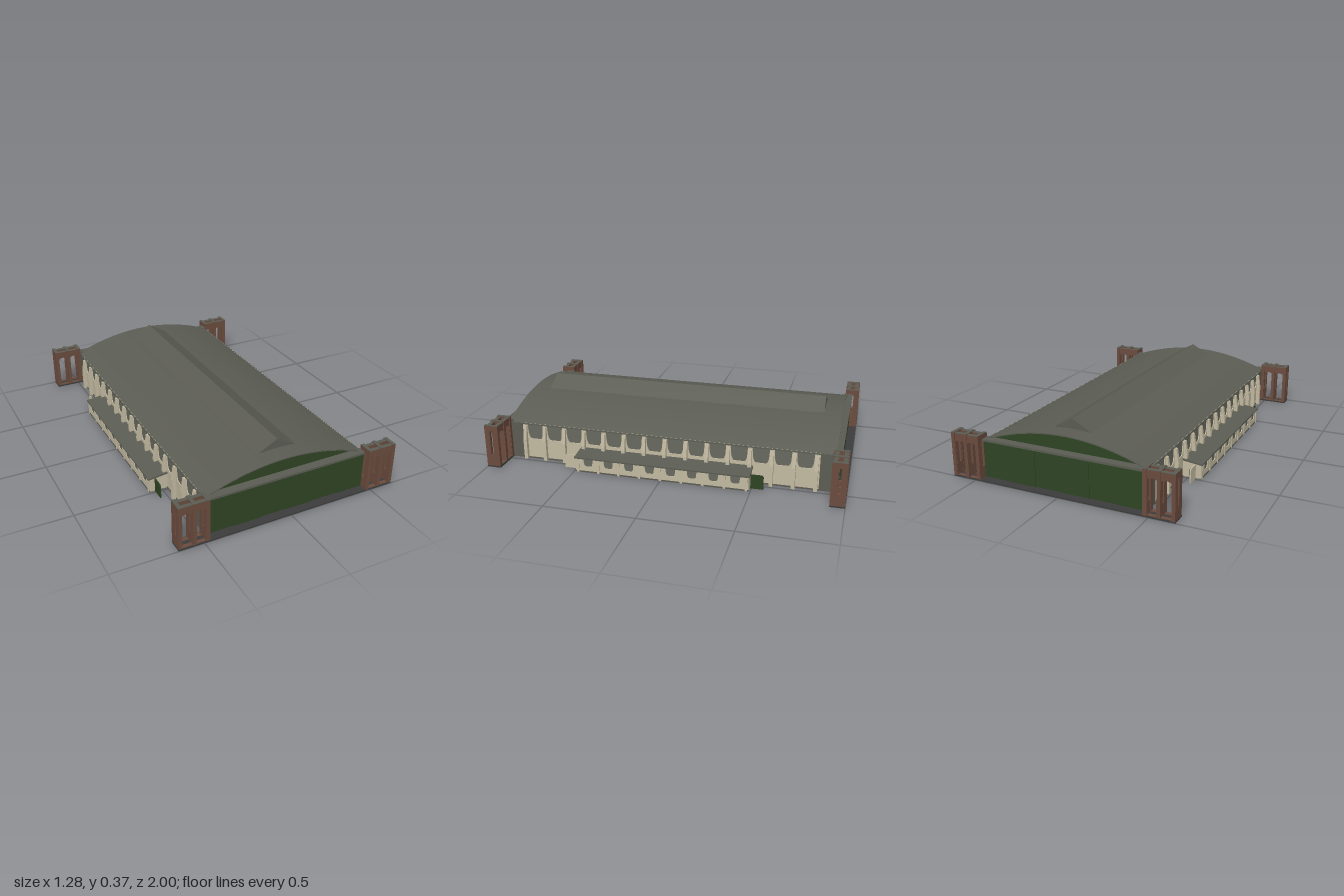
import * as THREE from 'three';
import { toCreasedNormals } from 'three/addons/utils/BufferGeometryUtils.js';

const mat = (name, color) => {
  const m = new THREE.MeshStandardMaterial({ color, side: THREE.DoubleSide });
  m.name = name;
  return m;
};

export function createModel() {
  const roofGrey = mat('roof grey', 0x5b5c53);
  const glassGrey = mat('glass grey', 0x67695f);
  const green = mat('door green', 0x2e4423);
  const cream = mat('wall cream', 0xc2b9a0);
  const brown = mat('tower brown', 0x6b4c3e);
  const dark = mat('rail dark grey', 0x3b3c3b);

  const root = new THREE.Group();
  root.name = 'hangar';

  const add = (parent, name, geo, material) => {
    const mesh = new THREE.Mesh(geo, material);
    mesh.name = name;
    parent.add(mesh);
    return mesh;
  };
  // Box given by its minimum and maximum corners
  const box = (parent, name, material, x0, x1, y0, y1, z0, z1) => {
    const mesh = add(parent, name, new THREE.BoxGeometry(x1 - x0, y1 - y0, z1 - z0), material);
    mesh.position.set((x0 + x1) / 2, (y0 + y1) / 2, (z0 + z1) / 2);
    return mesh;
  };
  const poly = (pts, Type = THREE.Shape) => new Type(pts.map(([x, y]) => new THREE.Vector2(x, y)));
  const extrude = (shape, depth, z0 = 0) =>
    new THREE.ExtrudeGeometry(shape, { depth, bevelEnabled: false, curveSegments: 6 }).translate(0, 0, z0);

  // Shallow arched roof
  const HALF = 0.472, EAVE = 0.215, RISE = 0.097, VENT = 0.11;
  const arcY = (x) => EAVE + RISE * (1 - (x / HALF) ** 2);
  const arcPoints = (xa, xb, n, drop = 0) =>
    Array.from({ length: n + 1 }, (_, i) => {
      const x = xa + ((xb - xa) * i) / n;
      return [x, arcY(x) - drop];
    });
  const roofStrip = (name, xa, xb, z0, z1) => {
    const shape = poly([...arcPoints(xa, xb, 14), ...arcPoints(xa, xb, 14, 0.006).reverse()]);
    add(root, name, toCreasedNormals(extrude(shape, z1 - z0, z0), 0.5), roofGrey);
  };
  roofStrip('roofRight', -HALF, -VENT, -0.933, 0.933);
  roofStrip('roofLeft', VENT, HALF, -0.933, 0.933);
  roofStrip('roofCrownFront', -VENT, VENT, 0.83, 0.933);
  roofStrip('roofCrownBack', -VENT, VENT, -0.933, -0.83);

  // Ridge skylight, open below
  const base = arcY(VENT), peak = 0.367;
  const chevron = poly([[-VENT, base], [0, peak], [VENT, base], [VENT - 0.01, base], [0, peak - 0.005], [-VENT + 0.01, base]]);
  add(root, 'ridgeSkylight', extrude(chevron, 1.66, -0.83), roofGrey);
  for (const s of [-1, 1]) {
    const end = poly([[-VENT, base - 0.002], [VENT, base - 0.002], [0, peak - 0.002]]);
    add(root, 'ridgeEnd', extrude(end, 0.006, s * 0.826 - 0.003), roofGrey);
  }

  // Side: wall with windows, buttresses and lean-to annex
  const PITCH = 0.119;
  const sidePlate = (parent, name, shape, depth, x0, material) =>
    add(parent, name, extrude(shape, depth).rotateY(Math.PI / 2).translate(x0, 0, 0), material);
  const windowHole = (c, top, bottom, wTop, wBottom) => {
    const p = new THREE.Path(), mid = bottom + (top - bottom) * 0.4;
    p.moveTo(c - wTop, top);
    p.lineTo(c - wTop * 0.93, mid);
    p.quadraticCurveTo(c - wTop * 0.8, bottom, c - wBottom, bottom);
    p.lineTo(c + wBottom, bottom);
    p.quadraticCurveTo(c + wTop * 0.8, bottom, c + wTop * 0.93, mid);
    p.lineTo(c + wTop, top);
    p.closePath();
    return p;
  };

  const buildSide = () => {
    const side = new THREE.Group();
    side.name = 'sideWall';
    const wall = poly([[-0.85, 0.008], [0.85, 0.008], [0.85, 0.217], [-0.85, 0.217]]);
    for (let k = -7; k < 7; k++) wall.holes.push(windowHole((k + 0.5) * PITCH, 0.208, 0.122, 0.047, 0.026));
    sidePlate(side, 'wall', wall, 0.014, 0.454, cream);
    box(side, 'windowGlass', glassGrey, 0.459, 0.463, 0.115, 0.212, -0.84, 0.84);
    box(side, 'wallBase', roofGrey, 0.452, 0.471, 0, 0.008, -0.85, 0.85);
    for (const s of [-1, 1]) {
      const z = s * 0.89;
      box(side, 'cornerPier', roofGrey, 0.445, 0.47, 0, 0.217, z - 0.04, z + 0.04);
    }
    // Buttresses, thicker near the foot
    const profile = poly([[0.465, 0], [0.49, 0], [0.49, 0.12], [0.478, 0.2], [0.465, 0.2]]);
    for (let k = -7; k <= 7; k++) add(side, 'buttress', extrude(profile, 0.02, k * PITCH - 0.01), cream);

    // Annex
    const annex = new THREE.Group();
    annex.name = 'annex';
    side.add(annex);
    const front = poly([[-0.49, 0.008], [0.49, 0.008], [0.49, 0.086], [-0.49, 0.086]]);
    for (let k = -4; k < 4; k++) front.holes.push(windowHole((k + 0.5) * PITCH, 0.08, 0.035, 0.027, 0.012));
    sidePlate(annex, 'annexWall', front, 0.01, 0.562, cream);
    box(annex, 'annexGlass', glassGrey, 0.565, 0.568, 0.03, 0.083, -0.48, 0.48);
    box(annex, 'annexBase', roofGrey, 0.56, 0.574, 0, 0.008, -0.49, 0.49);
    for (let k = -4; k <= 4; k++) box(annex, 'annexPost', cream, 0.571, 0.576, 0, 0.084, k * PITCH - 0.007, k * PITCH + 0.007);
    const slope = poly([[0.468, 0.094], [0.58, 0.081], [0.58, 0.089], [0.468, 0.103]]);
    add(annex, 'annexRoof', extrude(slope, 0.99, -0.495), roofGrey);
    const endWall = poly([[0.468, 0.004], [0.57, 0.004], [0.57, 0.083], [0.468, 0.096]]);
    for (const s of [-1, 1]) add(annex, 'annexEnd', extrude(endWall, 0.008, s * 0.486 - 0.004), cream);

    // Doors standing open at the annex ends
    const door = new THREE.Shape();
    door.moveTo(0.495, 0.004);
    door.lineTo(0.565, 0.004);
    door.lineTo(0.565, 0.07);
    door.quadraticCurveTo(0.565, 0.085, 0.55, 0.085);
    door.lineTo(0.495, 0.085);
    door.closePath();
    sidePlate(annex, 'annexDoor', door, 0.006, 0.538, green);
    const back = sidePlate(annex, 'annexDoorFar', door, 0.006, 0.538, cream);
    back.geometry.rotateY(Math.PI).translate(1.082, 0, 0);
    box(annex, 'doorInner', green, 0.535, 0.538, 0.004, 0.082, 0.495, 0.562);
    return side;
  };
  const left = buildSide(), right = left.clone();
  right.rotation.y = Math.PI;
  root.add(left, right);

  // End: gable, sliding doors, track and brown door towers
  const buildEnd = () => {
    const end = new THREE.Group();
    end.name = 'hangarEnd';
    const gable = poly([[-HALF + 0.01, 0.212], [HALF - 0.01, 0.212], ...arcPoints(HALF - 0.01, -HALF + 0.01, 24, 0.005)]);
    add(end, 'gable', extrude(gable, 0.014, 0.9), green);
    box(end, 'doorTrack', roofGrey, -0.47, 0.47, 0.213, 0.225, 0.912, 0.962);
    box(end, 'floorRail', dark, -0.64, 0.64, 0, 0.008, 0.92, 1);
    for (let i = 0; i < 6; i++) {
      const x = -0.47 + (i * 0.94) / 6, z = 0.928 + (i % 2) * 0.004;
      box(end, 'slidingDoor', green, x, x + 0.94 / 6, 0.006, 0.214, z, z + 0.022);
    }
    for (const s of [-1, 1]) {
      const tower = new THREE.Group();
      tower.name = 'doorTower';
      end.add(tower);
      // Twin arched frames
      const arches = poly([[0.47, 0.006], [0.638, 0.006], [0.638, 0.246], [0.47, 0.246]].map(([x, y]) => [s * x, y]));
      for (const [a, b] of [[0.491, 0.542], [0.562, 0.617]]) {
        const hole = new THREE.Path();
        hole.moveTo(s * a, 0.01);
        hole.lineTo(s * b, 0.01);
        hole.lineTo(s * b, 0.198);
        hole.quadraticCurveTo((s * (a + b)) / 2, 0.214, s * a, 0.198);
        hole.closePath();
        arches.holes.push(hole);
      }
      for (const z of [0.925, 0.973]) {
        add(tower, 'archFrame', extrude(arches, 0.022, z), brown);
        const c = s * 0.554;
        box(tower, 'frameCap', roofGrey, c - 0.084, c + 0.084, 0.245, 0.247, z, z + 0.022);
      }
      // Posts with ties at foot and head
      for (const px of [0.479, 0.552, 0.629]) {
        const x0 = s * px - 0.01, x1 = s * px + 0.01;
        box(tower, 'post', brown, x0, x1, 0.006, 0.25, 0.92, 0.954);
        box(tower, 'post', brown, x0, x1, 0.006, 0.25, 0.97, 1);
        box(tower, 'footTie', brown, x0, x1, 0.006, 0.075, 0.954, 0.97);
        box(tower, 'headTie', brown, x0, x1, 0.218, 0.25, 0.954, 0.97);
        box(tower, 'postCap', roofGrey, x0, x1, 0.249, 0.251, 0.92, 1);
      }
    }
    return end;
  };
  const front = buildEnd(), rear = front.clone();
  rear.rotation.y = Math.PI;
  root.add(front, rear);

  return root;
}
